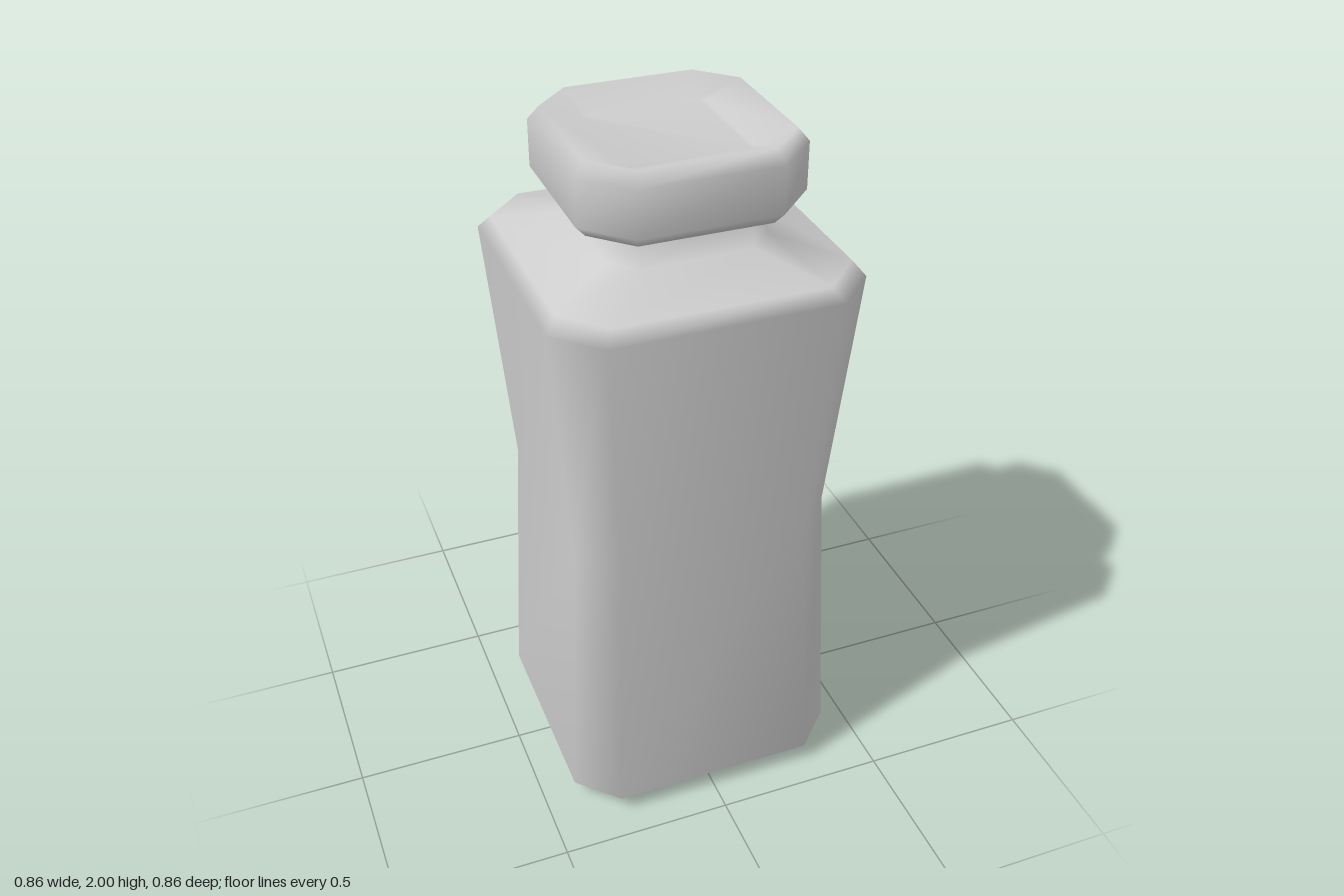
import * as THREE from 'three';

// One chamfered-square ring: h = half width, c = corner cut, y = height
function ring([h, c, y]) {
  const k = h - c;
  return [[k, h], [h, k], [h, -k], [k, -h], [-k, -h], [-h, -k], [-h, k], [-k, h]]
    .map(([x, z]) => [x, y, z]);
}

// Skins a list of rings from bottom to top, optionally closing either end
function loft(rings, closeBottom, closeTop) {
  const pos = rings.flatMap(ring).flat();
  const idx = [];
  for (let r = 0; r < rings.length - 1; r++) {
    for (let i = 0; i < 8; i++) {
      const j = (i + 1) % 8;
      const a = r * 8 + i, b = r * 8 + j, c = b + 8, d = a + 8;
      idx.push(a, b, c, a, c, d);
    }
  }
  const top = (rings.length - 1) * 8;
  for (let i = 1; i < 7; i++) {
    if (closeBottom) idx.push(0, i + 1, i);
    if (closeTop) idx.push(top, top + i, top + i + 1);
  }
  const geo = new THREE.BufferGeometry();
  geo.setAttribute('position', new THREE.Float32BufferAttribute(pos, 3));
  geo.setIndex(idx);
  geo.computeVertexNormals();
  return geo;
}

export function createModel() {
  const group = new THREE.Group();
  const grey = new THREE.MeshStandardMaterial({ color: 0xcccccc });
  grey.name = 'light grey';

  const add = (name, geo) => {
    const mesh = new THREE.Mesh(geo, grey);
    mesh.name = name;
    group.add(mesh);
  };

  // Waisted body with sloping shoulder and short neck
  add('body', loft([
    [0.31, 0.03, 0],
    [0.41, 0.11, 0.055],
    [0.372, 0.1, 0.9],
    [0.43, 0.113, 1.625],
    [0.4, 0.11, 1.663],
    [0.225, 0.07, 1.71],
    [0.205, 0.065, 1.83],
  ], true, false));

  // Cap with bevelled edges and a shallow dished top
  add('cap', loft([
    [0.2, 0.06, 1.803],
    [0.28, 0.1, 1.803],
    [0.308, 0.115, 1.835],
    [0.308, 0.115, 1.965],
    [0.28, 0.1, 2],
    [0.17, 0.012, 1.96],
  ], false, true));

  return group;
}
